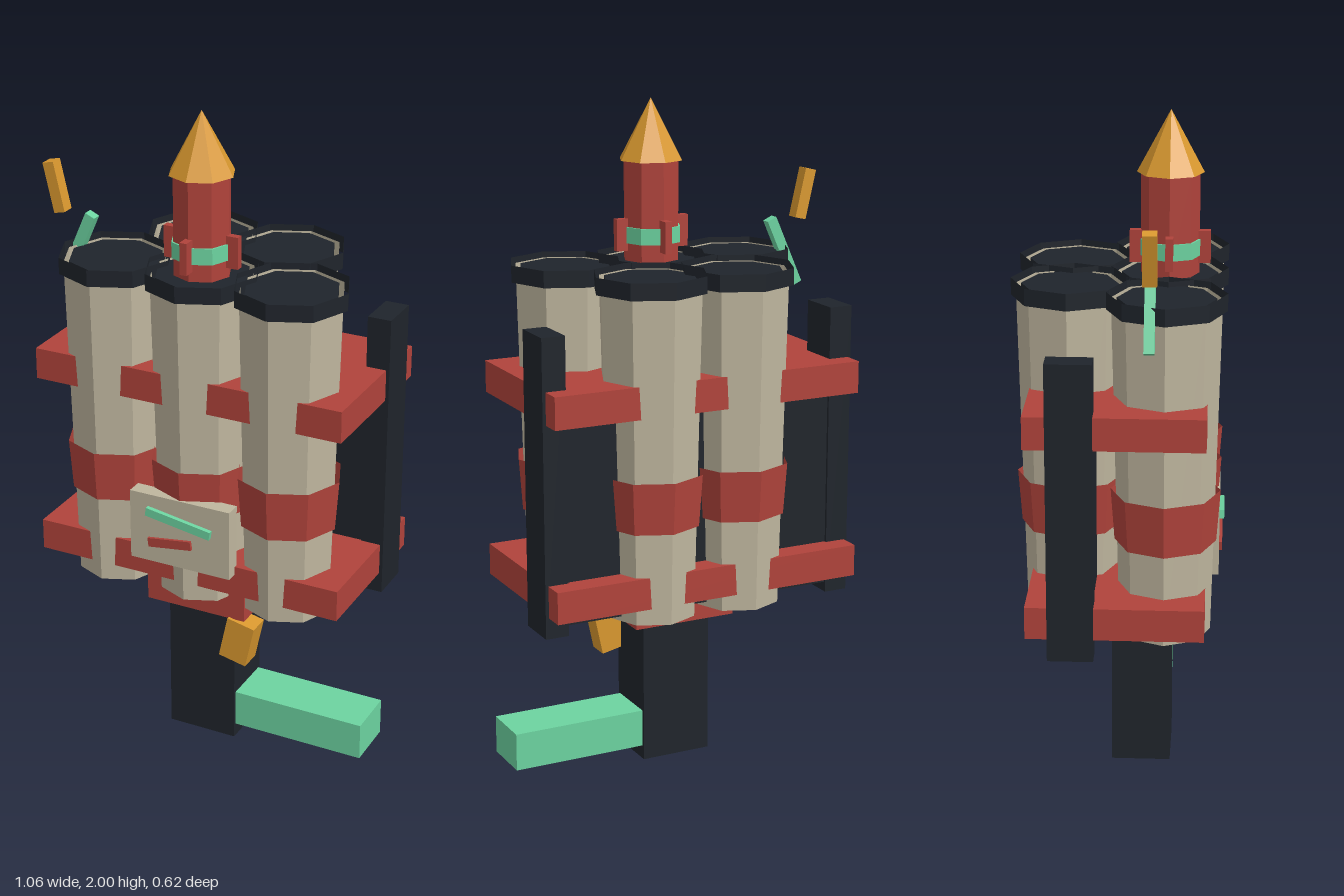
import * as THREE from 'three';

const material = (color, side = THREE.FrontSide) =>
  new THREE.MeshStandardMaterial({ color, flatShading: true, side });

export function createModel() {
  const model = new THREE.Group();
  model.name = 'rocketBattery';

  const red = material(0xb0433b);
  const dark = material(0x1f242b);
  const orange = material(0xd9982f);
  const green = material(0x6cd3a0);
  const beige = material(0xbfb69e);
  const beigeOpen = material(0xbfb69e, THREE.DoubleSide);
  const redOpen = material(0xb0433b, THREE.DoubleSide);
  const darkOpen = material(0x1f242b, THREE.DoubleSide);

  function add(name, geometry, mat, x, y, z, parent = model) {
    const mesh = new THREE.Mesh(geometry, mat);
    mesh.name = name;
    mesh.position.set(x, y, z);
    parent.add(mesh);
    return mesh;
  }
  const box = (name, mat, w, h, d, x, y, z, tilt = 0, parent = model) => {
    const mesh = add(name, new THREE.BoxGeometry(w, h, d), mat, x, y, z, parent);
    mesh.rotation.z = THREE.MathUtils.degToRad(tilt);
    return mesh;
  };
  // Eight-sided tube, open at both ends unless capped
  const octagon = (top, bottom, height, open = true) =>
    new THREE.CylinderGeometry(top, bottom, height, 8, 1, open);

  // Launch tubes: three in front, two behind
  const tubes = [[-0.28, 0.14], [0, 0.14], [0.28, 0.14], [-0.14, -0.14], [0.14, -0.14]];
  for (const [x, z] of tubes) {
    const tube = new THREE.Group();
    tube.name = 'launchTube';
    tube.position.set(x, 0, z);
    model.add(tube);
    add('tubeWall', octagon(0.156, 0.133, 1.0), beigeOpen, 0, 1.025, 0, tube);
    add('tubeBand', octagon(0.158, 0.147, 0.155), redOpen, 0, 0.88, 0, tube);
    add('tubeRim', octagon(0.17, 0.17, 0.05), darkOpen, 0, 1.515, 0, tube);
    add('tubeMouth', octagon(0.14, 0.14, 0.02, false), dark, 0, 1.515, 0, tube);
  }

  // Frame: two clamp plates, side posts and an inner back board
  for (const y of [0.622, 1.192]) box('clampPlate', red, 0.98, 0.096, 0.51, 0, y, 0.003);
  for (const side of [-1, 1]) box('sidePost', dark, 0.072, 0.885, 0.132, side * 0.464, 0.953, -0.122);
  box('innerBoard', dark, 0.86, 0.66, 0.12, 0, 0.87, -0.12);

  // Grip below the frame, with its stock and trigger
  box('gripMount', red, 0.325, 0.1, 0.28, 0, 0.5, 0.055);
  box('grip', dark, 0.22, 0.45, 0.178, 0, 0.225, 0.064);
  box('sideHandle', green, 0.42, 0.115, 0.16, 0.318, 0.1, 0.064);
  box('trigger', orange, 0.09, 0.137, 0.07, 0.142, 0.378, 0.17, -12);

  // Front plate with two painted strokes
  box('frontPlate', beige, 0.325, 0.22, 0.05, 0, 0.755, 0.27);
  box('upperStroke', green, 0.212, 0.026, 0.018, 0, 0.797, 0.3, -9);
  box('lowerStroke', red, 0.142, 0.028, 0.014, -0.03, 0.72, 0.297, 8);

  // Rocket rising from the middle front tube
  const rocket = new THREE.Group();
  rocket.name = 'rocket';
  rocket.position.z = 0.14;
  model.add(rocket);
  add('rocketBody', octagon(0.085, 0.085, 0.3, false), red, 0, 1.67, 0, rocket);
  add('rocketNose', new THREE.ConeGeometry(0.097, 0.18, 8), orange, 0, 1.91, 0, rocket);
  add('rocketRing', octagon(0.091, 0.091, 0.048, false), green, 0, 1.602, 0, rocket);
  box('rocketFins', red, 0.234, 0.095, 0.022, 0, 1.603, 0, 0, rocket);
  box('rocketFins', red, 0.022, 0.095, 0.234, 0, 1.603, 0, 0, rocket);

  // Fuse and spark at the corner tube
  box('fuse', green, 0.032, 0.222, 0.03, -0.425, 1.52, 0.098, -24);
  box('spark', orange, 0.036, 0.152, 0.04, -0.494, 1.692, 0.1, 13);

  return model;
}
